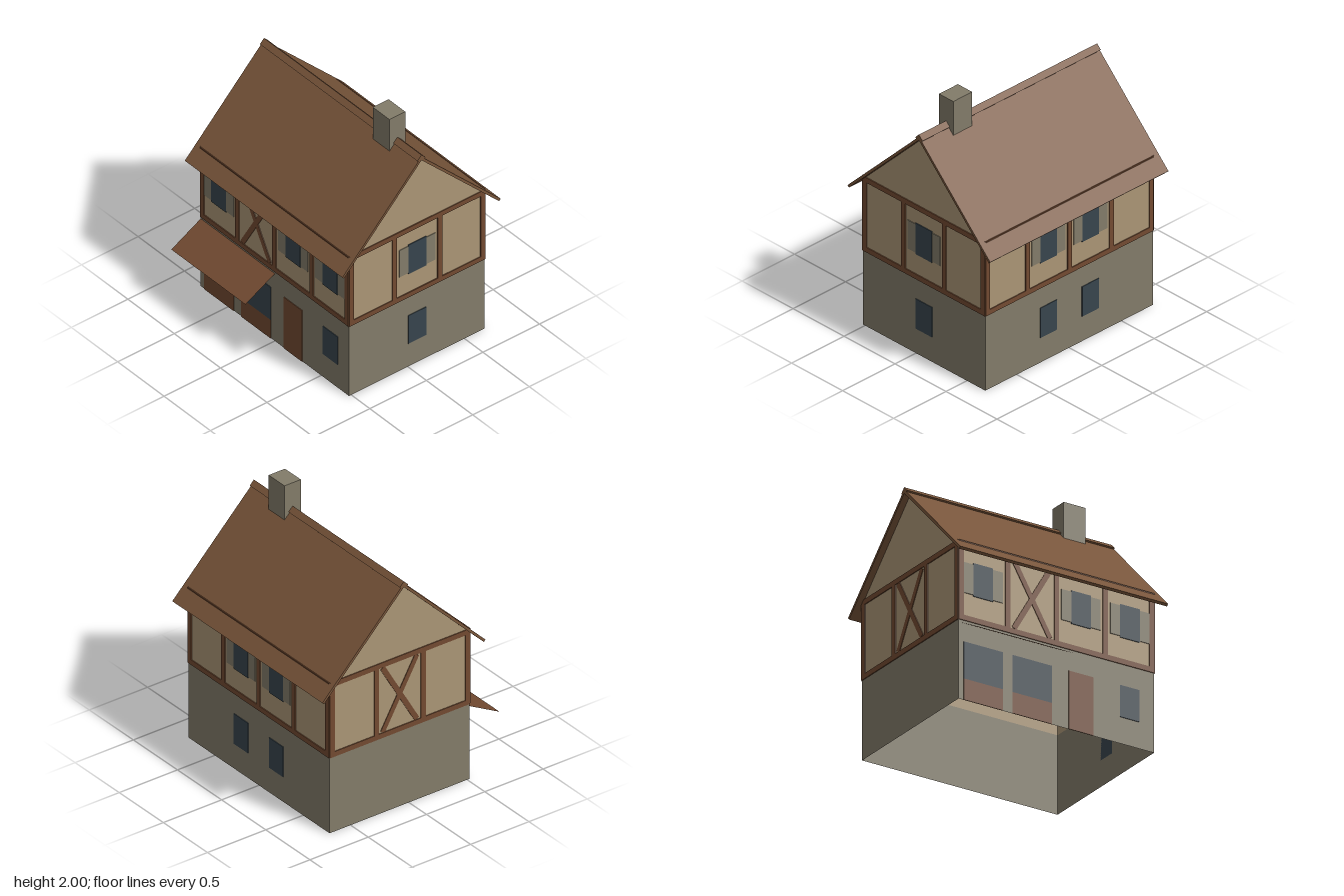
import * as THREE from 'three';

const mat = (name, color, side = THREE.FrontSide) => {
  const m = new THREE.MeshStandardMaterial({ color, side });
  m.name = name;
  return m;
};

export function createModel() {
  const stone = mat('stone', 0x827b69, THREE.DoubleSide);
  const plaster = mat('plaster', 0xaa9575, THREE.DoubleSide);
  const timber = mat('timber', 0x724a31, THREE.DoubleSide);
  const tiles = mat('roof tiles', 0x78553a);
  const glass = mat('glass', 0x37444d);

  const model = new THREE.Group();
  model.name = 'house';
  const house = new THREE.Group();
  house.name = 'building';
  house.position.z = -0.08;
  model.add(house);

  const add = (parent, name, geometry, material) => {
    const m = new THREE.Mesh(geometry, material);
    m.name = name;
    parent.add(m);
    return m;
  };

  // Thin plate lying on a wall, given by its edges in the wall's own plane
  const plate = (wall, name, x0, x1, y0, y1, material, depth = 0.005) => {
    const g = new THREE.BoxGeometry(x1 - x0, y1 - y0, depth);
    g.translate((x0 + x1) / 2, (y0 + y1) / 2, depth / 2);
    return add(wall, name, g, material);
  };

  const upperWindow = (wall, x) => {
    plate(wall, 'upperWindow', x - 0.08, x + 0.08, 0.8, 1.05, glass, 0.006);
    for (const s of [-1, 1]) {
      plate(wall, 'shutter', x + s * 0.12 - 0.04, x + s * 0.12 + 0.04, 0.81, 1.04, stone, 0.005);
    }
  };

  const lowerWindow = (wall, x) =>
    plate(wall, 'lowerWindow', x - 0.08, x + 0.08, 0.2, 0.44, glass);

  // Crossed diagonal braces filling one bay
  const crossBrace = (wall, x) => {
    for (const s of [-1, 1]) {
      const b = add(wall, 'crossBrace', new THREE.BoxGeometry(0.04, 0.59, 0.005), timber);
      b.position.set(x, 0.9, 0.0025);
      b.rotation.z = s * Math.atan2(0.3, 0.52);
    }
  };

  // One wall: stone below, plaster above with an optional gable, timber frame
  const makeWall = (name, half, distance, turn, gable) => {
    const wall = new THREE.Group();
    wall.name = name;
    wall.rotation.y = turn;
    wall.position.set(Math.sin(turn) * distance, 0, Math.cos(turn) * distance);
    house.add(wall);

    add(wall, 'stoneWall', new THREE.PlaneGeometry(half * 2, 0.6).translate(0, 0.3, 0), stone);
    const shape = new THREE.Shape();
    shape.moveTo(-half, 0.6);
    shape.lineTo(half, 0.6);
    shape.lineTo(half, 1.19);
    if (gable) shape.lineTo(0, 1.785);
    shape.lineTo(-half, 1.19);
    add(wall, 'plasterWall', new THREE.ShapeGeometry(shape), plaster);

    plate(wall, 'sillBeam', -half, half, 0.6, 0.64, timber, 0.007);
    plate(wall, 'topBeam', -half, half, 1.16, 1.2, timber, 0.007);
    for (let x = -half; x <= half + 0.01; x += 0.4) {
      const c = THREE.MathUtils.clamp(x, -half + 0.02, half - 0.02);
      plate(wall, 'post', c - 0.02, c + 0.02, 0.64, 1.16, timber, 0.007);
    }
    return wall;
  };

  const front = makeWall('frontWall', 0.8, 0.6, 0, false);
  const back = makeWall('backWall', 0.8, 0.6, Math.PI, false);
  const left = makeWall('leftWall', 0.6, 0.8, Math.PI / 2, true);
  const right = makeWall('rightWall', 0.6, 0.8, -Math.PI / 2, true);

  // Front: windows, door and shop
  [-0.6, 0.2, 0.6].forEach((x) => upperWindow(front, x));
  crossBrace(front, -0.2);
  lowerWindow(front, 0.6);
  plate(front, 'door', 0.1, 0.3, 0, 0.44, timber);
  for (const x of [-0.6, -0.2]) {
    plate(front, 'shopWindow', x - 0.16, x + 0.16, 0.16, 0.44, glass);
    plate(front, 'shopPanel', x - 0.16, x + 0.16, 0, 0.16, timber);
  }
  const awning = add(front, 'awning', new THREE.PlaneGeometry(0.8, Math.hypot(0.26, 0.14)), timber);
  awning.position.set(-0.4, 0.51, 0.13);
  awning.rotation.x = -Math.atan2(0.26, 0.14);

  // Back and sides
  for (const x of [-0.2, 0.2]) {
    upperWindow(back, x);
    lowerWindow(back, x);
  }
  upperWindow(left, 0);
  lowerWindow(left, 0);
  crossBrace(right, 0);

  // Chevron strip run along the ridge, with ends cut square to the slope
  const chevron = (name, reach, top, thick) => {
    const s = new THREE.Shape();
    const c = thick * Math.SQRT1_2;
    s.moveTo(0, top);
    s.lineTo(-reach, top - reach);
    s.lineTo(-reach + c, top - reach - c);
    s.lineTo(0, top - 2 * c);
    s.lineTo(reach - c, top - reach - c);
    s.lineTo(reach, top - reach);
    const g = new THREE.ExtrudeGeometry(s, { depth: 1.7, bevelEnabled: false });
    g.translate(0, 0, -0.85).rotateY(Math.PI / 2);
    return add(house, name, g, tiles);
  };
  chevron('roof', 0.7, 1.798, 0.02);
  chevron('ridgeCap', 0.036, 1.815, 0.015);

  const chimney = add(house, 'chimney', new THREE.BoxGeometry(0.18, 0.32, 0.14), stone);
  chimney.position.set(0.5, 1.84, 0);

  return model;
}
